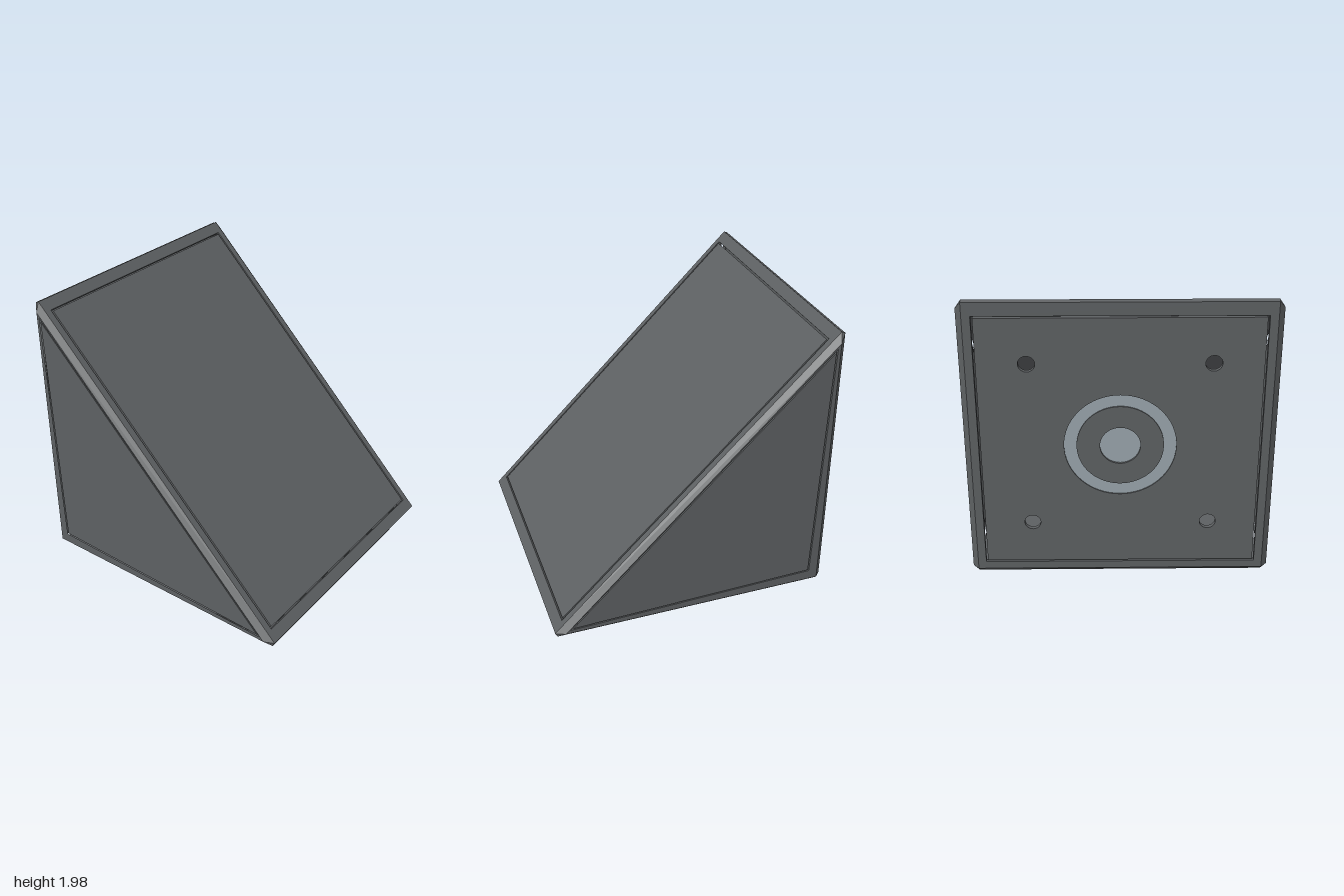
import * as THREE from 'three';

const T = 0.03;    // plate thickness
const GAP = 0.006; // half the seam width
const V = (x, y, z) => new THREE.Vector3(x, y, z);

// polygon points for a rectangle centred at (0, cy)
const rect = (w, h, cy = 0) => [[-w, cy - h], [w, cy - h], [w, cy + h], [-w, cy + h]];
const toPath = (pts, C = THREE.Path) => new C(pts.map(p => new THREE.Vector2(p[0], p[1])));
const circle = (x, y, r, C = THREE.Path) => {
  const c = new C();
  c.absarc(x, y, r, 0, Math.PI * 2, false);
  return c;
};

export function createModel() {
  const model = new THREE.Group();
  const casing = new THREE.MeshStandardMaterial({ color: 0x5d6062 });
  casing.name = 'casing grey';
  const steel = new THREE.MeshStandardMaterial({ color: 0x99a4ab });
  steel.name = 'light steel';

  // group lying on one side of the wedge, local +z pointing outward
  function faceGroup(name, u, v, origin) {
    const g = new THREE.Group();
    g.name = name;
    g.applyMatrix4(new THREE.Matrix4().makeBasis(u, v, u.clone().cross(v)).setPosition(origin));
    model.add(g);
    return g;
  }

  // flat plate whose outer surface sits `sink` below the face
  function plate(group, name, shape, holes, material = casing, sink = 0) {
    shape.holes = holes;
    const geo = new THREE.ExtrudeGeometry(shape, { depth: T - sink, bevelEnabled: false, curveSegments: 32 });
    geo.translate(0, 0, -T);
    const mesh = new THREE.Mesh(geo, material);
    mesh.name = name;
    group.add(mesh);
  }

  // rim and separate panel with a fine seam between them
  function rectFace(group, hh, pw, ph, cy, holes) {
    plate(group, 'rim', toPath(rect(0.96, hh), THREE.Shape), [toPath(rect(pw + GAP, ph + GAP, cy))]);
    plate(group, 'panel', toPath(rect(pw - GAP, ph - GAP, cy), THREE.Shape), holes);
  }

  // ring, centre disc and four corner holes of the mounting faces
  function mountFace(group, hh, cy) {
    const holes = [circle(0, cy, 0.36)];
    for (const sx of [-1, 1]) for (const sy of [-1, 1]) holes.push(circle(sx * 0.58, cy + sy * 0.575, 0.053));
    rectFace(group, hh, 0.9, 0.885, cy, holes);
    plate(group, 'ring', circle(0, cy, 0.36, THREE.Shape), [circle(0, cy, 0.28)], steel, 0.008);
    plate(group, 'hub', circle(0, cy, 0.28, THREE.Shape), [circle(0, cy, 0.13)]);
    plate(group, 'centreDisc', circle(0, cy, 0.13, THREE.Shape), [], steel, 0.014);
  }

  // sloping front
  rectFace(faceGroup('slopeFace', V(1, 0, 0), V(0, Math.SQRT1_2, -Math.SQRT1_2), V(0, 1.0025, 0.0125)),
    1.375, 0.907, 1.284, 0, []);
  // back and bottom mounting faces
  mountFace(faceGroup('backFace', V(-1, 0, 0), V(0, 1, 0), V(0, 1.0025, -0.985)), 0.9625, -0.0175);
  mountFace(faceGroup('bottomFace', V(1, 0, 0), V(0, 0, 1), V(0, 0, 0.0125)), 0.9575, -0.0125);

  // triangular sides, points as (z, y)
  const sideRim = [[0.92, 0.04], [-0.945, 0.04], [-0.945, 1.915]];
  const seam = [[0.878, 0.07], [-0.876, 0.116], [-0.92, 1.867]];
  const scaled = k => seam.map(([z, y]) => [-0.37 + (z + 0.37) * k, 0.61 + (y - 0.61) * k]);
  for (const s of [1, -1]) {
    const g = faceGroup(s > 0 ? 'leftSide' : 'rightSide', V(0, 0, -s), V(0, 1, 0), V(s, 0, 0));
    const local = pts => pts.map(([z, y]) => [-s * z, y]);
    plate(g, 'sideRim', toPath(local(sideRim), THREE.Shape), [toPath(local(scaled(1.009)))]);
    plate(g, 'sidePanel', toPath(local(scaled(0.991)), THREE.Shape), []);
  }

  // bevels joining the faces; each face lists its (z, y) at the profile corners
  const slope = { A: [0.985, 0.03], C: [-0.96, 1.975] };
  const bottom = { A: [0.97, 0], B: [-0.945, 0] };
  const back = { B: [-0.985, 0.04], C: [-0.985, 1.965] };
  const side = { A: sideRim[0], B: sideRim[1], C: sideRim[2] };
  const pt = (f, k, s) => V(s * (f === side ? 1 : 0.96), f[k][1], f[k][0]);
  const pos = [];
  const centre = V(0, 0.6, -0.35);
  function tri(a, b, c) {
    const n = b.clone().sub(a).cross(c.clone().sub(a));
    const order = n.dot(a.clone().sub(centre)) > 0 ? [a, b, c] : [a, c, b];
    for (const p of order) pos.push(p.x, p.y, p.z);
  }
  const quad = (a, b, c, d) => { tri(a, b, c); tri(a, c, d); };

  for (const [k, f, g] of [['A', slope, bottom], ['B', bottom, back], ['C', back, slope]]) {
    quad(pt(f, k, -1), pt(f, k, 1), pt(g, k, 1), pt(g, k, -1));
    for (const s of [-1, 1]) tri(pt(f, k, s), pt(g, k, s), pt(side, k, s));
  }
  for (const [f, a, b] of [[slope, 'A', 'C'], [bottom, 'A', 'B'], [back, 'B', 'C']]) {
    for (const s of [-1, 1]) quad(pt(f, a, s), pt(f, b, s), pt(side, b, s), pt(side, a, s));
  }
  const bevelGeo = new THREE.BufferGeometry();
  bevelGeo.setAttribute('position', new THREE.Float32BufferAttribute(pos, 3));
  bevelGeo.computeVertexNormals();
  const bevels = new THREE.Mesh(bevelGeo, casing);
  bevels.name = 'bevelledEdges';
  model.add(bevels);

  return model;
}
